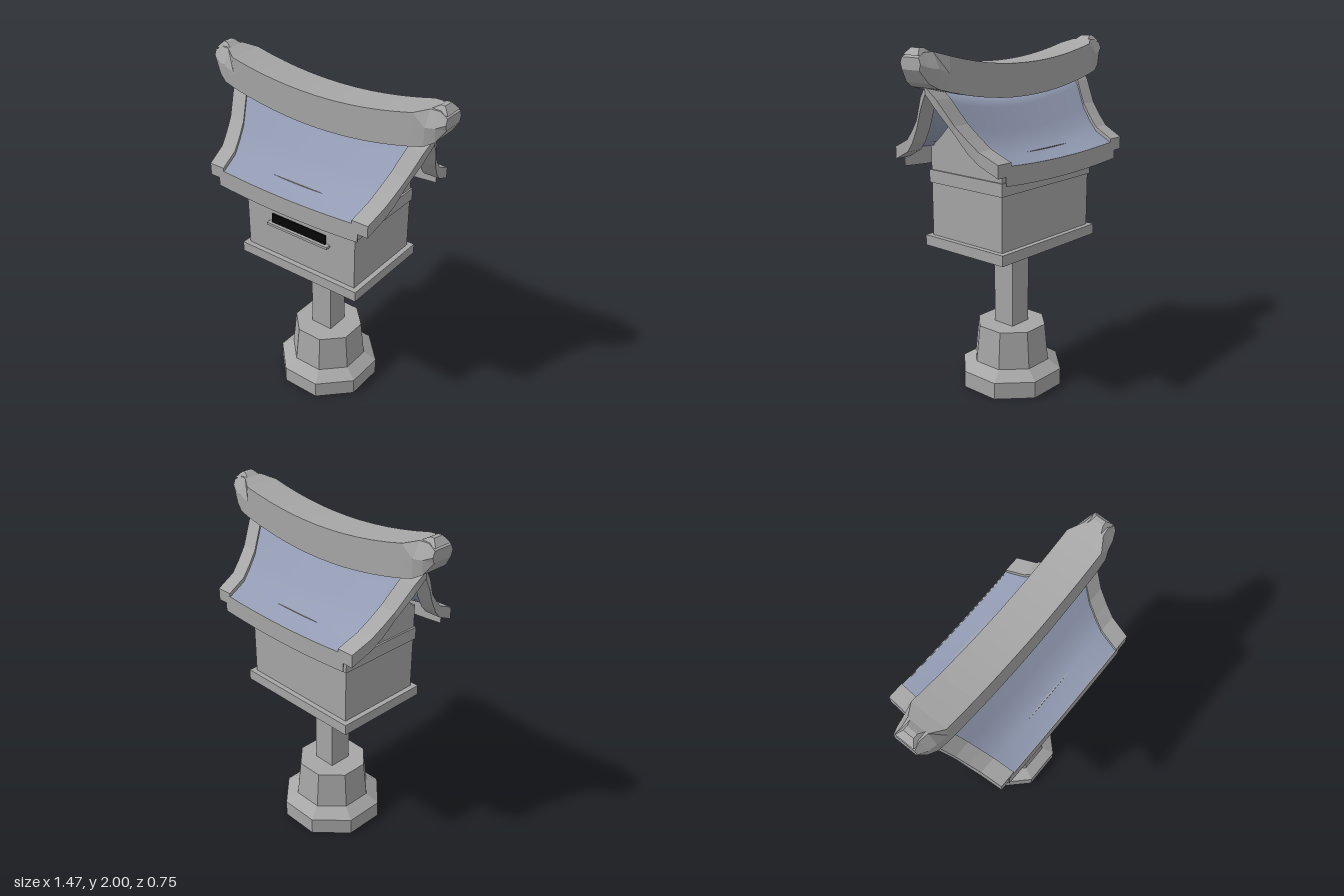
import * as THREE from 'three';

const stone = new THREE.MeshStandardMaterial({ color: 0xa6a6a6, side: THREE.DoubleSide });
stone.name = 'stone grey';
const slate = new THREE.MeshStandardMaterial({ color: 0x939cb4, side: THREE.DoubleSide });
slate.name = 'slate blue';
const black = new THREE.MeshStandardMaterial({ color: 0x060606 });
black.name = 'slot black';

// Half profile of the roof: z, top of the verge board, underside of the verge board
const HALF = [
  [0, 1.81, 1.77], [0.058, 1.746, 1.69], [0.138, 1.62, 1.575],
  [0.2, 1.555, 1.49], [0.26, 1.5, 1.433], [0.375, 1.447, 1.378],
];
const PROFILE = [...HALF.slice(1).reverse().map(([z, t, b]) => [-z, t, b]), ...HALF];

// The roof widens towards the ridge
const vergeX = (top) => 0.525 + 0.12 * (top - 1.447) / 0.363;
// Sagging roof surface
const roofY = (x, z, top) => {
  const sag = 0.02 + 0.06 * (1 - Math.abs(z) / 0.375);
  const w = vergeX(top) - 0.08;
  return top - 0.02 - sag * (1 - Math.min(1, (x / w) ** 2));
};

// Flat-shaded skin over closed rings of [x, y, z], with both ends capped
function loft(rings) {
  const pos = [];
  const tri = (a, b, c) => pos.push(...a, ...b, ...c);
  const n = rings[0].length;
  for (let i = 0; i < rings.length - 1; i++) {
    for (let j = 0; j < n; j++) {
      const k = (j + 1) % n;
      tri(rings[i][j], rings[i][k], rings[i + 1][k]);
      tri(rings[i][j], rings[i + 1][k], rings[i + 1][j]);
    }
  }
  const first = rings[0], last = rings[rings.length - 1];
  for (let j = 1; j < n - 1; j++) {
    tri(first[0], first[j + 1], first[j]);
    tri(last[0], last[j], last[j + 1]);
  }
  const g = new THREE.BufferGeometry();
  g.setAttribute('position', new THREE.Float32BufferAttribute(pos, 3));
  g.computeVertexNormals();
  return g;
}

export function createModel() {
  const model = new THREE.Group();
  const add = (name, geometry, material) => {
    const mesh = new THREE.Mesh(geometry, material);
    mesh.name = name;
    model.add(mesh);
    return mesh;
  };
  // Box given by width, depth, bottom and top
  const block = (name, w, d, y0, y1, z = 0, material = stone) =>
    add(name, new THREE.BoxGeometry(w, y1 - y0, d), material).position.set(0, (y0 + y1) / 2, z);

  // Octagonal foot, hollow underneath
  const footProfile = [[0.306, 0], [0.306, 0.1], [0.229, 0.15], [0.206, 0.37], [0, 0.37]]
    .map(([r, y]) => new THREE.Vector2(r, y));
  const foot = new THREE.LatheGeometry(footProfile, 8, Math.PI / 8).toNonIndexed();
  foot.computeVertexNormals();
  add('foot', foot, stone);

  // Post and chamber
  block('post', 0.14, 0.14, 0.37, 0.88);
  block('floorPlate', 0.8, 0.58, 0.875, 0.935);
  block('chamber', 0.74, 0.52, 0.935, 1.447);
  block('chamberBand', 0.76, 0.536, 1.24, 1.312);

  // Slot and its sill
  block('slot', 0.37, 0.009, 1.145, 1.2, 0.268, black);
  block('slotSill', 0.416, 0.03, 1.13, 1.145, 0.275);

  // Gable walls tucked under the roof
  const gable = new THREE.Shape();
  gable.moveTo(-0.24, 1.43);
  for (const [z, top] of PROFILE.slice(1, -1)) {
    gable.lineTo(z * 0.92, roofY(0.36, z, top) - 0.012);
  }
  gable.lineTo(0.24, 1.43);
  for (const side of [1, -1]) {
    const g = new THREE.ExtrudeGeometry(gable, { depth: 0.02, bevelEnabled: false });
    g.translate(0, 0, -0.01).rotateY(Math.PI / 2);
    add('gableWall', g, stone).position.x = side * 0.36;
  }

  // Sagging roof panel
  const panel = new THREE.PlaneGeometry(2, 2, 16, PROFILE.length - 1);
  const p = panel.attributes.position;
  for (let i = 0; i < p.count; i++) {
    const [z, top] = PROFILE[Math.floor(i / 17)];
    const x = p.getX(i) * (vergeX(top) - 0.06);
    p.setXYZ(i, x, roofY(x, z, top), z);
  }
  panel.computeVertexNormals();
  add('roofPanel', panel, slate);

  // Thin eave boards, curved with the roof
  for (const side of [1, -1]) {
    const g = new THREE.BoxGeometry(0.93, 0.102, 0.005, 12, 1, 1);
    const q = g.attributes.position;
    for (let i = 0; i < q.count; i++) {
      q.setY(i, q.getY(i) + 1.381 - 0.02 * (1 - (q.getX(i) / 0.465) ** 2));
    }
    g.computeVertexNormals();
    add('eaveBoard', g, stone).position.z = side * 0.373;
  }

  // Verge boards over both roof ends
  for (const side of [1, -1]) {
    const rings = PROFILE.map(([z, top, bottom]) => {
      const outer = vergeX(top), inner = outer - 0.097;
      const ring = [[outer, bottom], [outer, top], [inner, top], [inner, bottom]]
        .map(([x, y]) => [side * x, y, z]);
      return side > 0 ? ring : ring.reverse();
    });
    add('vergeBoard', loft(rings), stone);
  }

  // Ridge beam: x, bottom y, half width, middle y, half width, top y, half width
  const sections = [];
  for (let i = -6; i <= 6; i++) {
    const x = i * 0.095;
    const low = 1.71 + 0.22 * x * x, high = 1.89 + 0.21 * x * x;
    sections.push([x, low, 0.104, (low + high) / 2, 0.104, high, 0.104]);
  }
  const tips = [
    [0.64, 1.8, 0.1, 1.9, 0.103, 1.98, 0.06],
    [0.69, 1.83, 0.083, 1.905, 0.092, 1.978, 0.052],
    [0.734, 1.895, 0.062, 1.925, 0.072, 1.955, 0.06],
  ];
  sections.push(...tips);
  sections.unshift(...tips.map(([x, ...rest]) => [-x, ...rest]).reverse());
  add('ridgeBeam', loft(sections.map(([x, y0, w0, y1, w1, y2, w2]) => [
    [x, y2, -w2], [x, y2, w2], [x, y1, w1], [x, y0, w0], [x, y0, -w0], [x, y1, -w1],
  ])), stone);

  // Small raised knobs on the ridge ends
  for (const side of [1, -1]) {
    const rings = [[1.965, 0.615, 0.732, 0.055], [2, 0.675, 0.7, 0.03]].map(([y, a, b, w]) => {
      const ring = [[a, y, -w], [a, y, w], [b, y, w], [b, y, -w]].map(([x, h, z]) => [side * x, h, z]);
      return side > 0 ? ring : ring.reverse();
    });
    add('ridgeKnob', loft(rings), stone);
  }

  return model;
}
